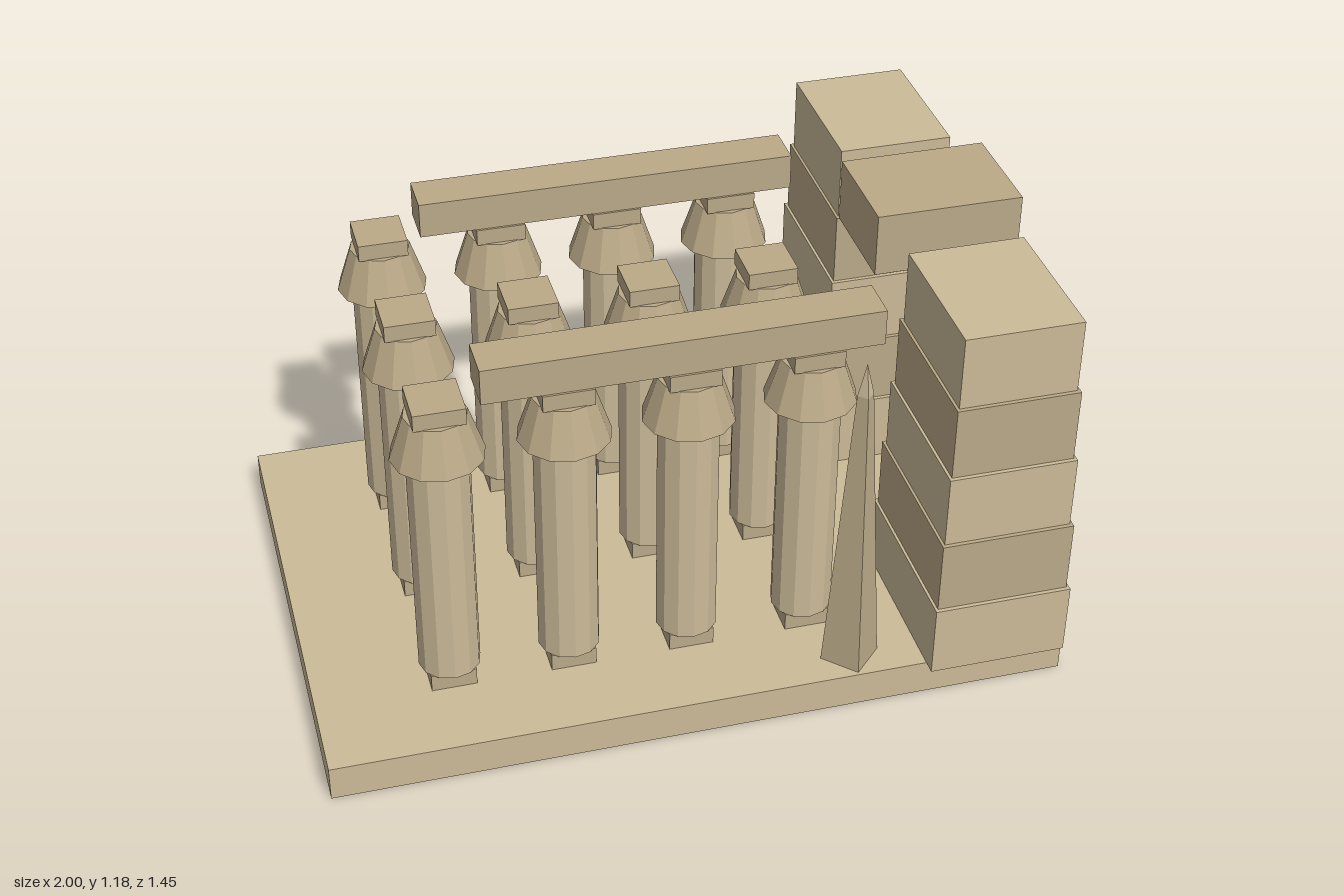
import * as THREE from 'three';

const light = new THREE.MeshStandardMaterial({ color: 0xccbb99, flatShading: true });
const dark = new THREE.MeshStandardMaterial({ color: 0xbbaa88, flatShading: true });

function add(parent, name, geometry, material, x, y, z) {
  const mesh = new THREE.Mesh(geometry, material);
  mesh.name = name;
  mesh.position.set(x, y, z);
  parent.add(mesh);
  return mesh;
}

// Box resting on height y
function block(parent, name, material, w, h, d, x, y, z) {
  return add(parent, name, new THREE.BoxGeometry(w, h, d), material, x, y + h / 2, z);
}

// Faceted drum or frustum resting on height y
function drum(parent, name, material, rTop, rBottom, h, sides, y) {
  return add(parent, name, new THREE.CylinderGeometry(rTop, rBottom, h, sides), material, 0, y + h / 2, 0);
}

// Column: plinth, shaft, flared capital and abacus
function column(x, z) {
  const g = new THREE.Group();
  g.name = 'column';
  g.position.set(x, 0.1, z);
  block(g, 'plinth', dark, 0.122, 0.05, 0.122, 0, 0, 0);
  drum(g, 'shaft', light, 0.083, 0.083, 0.68, 12, 0.05);
  drum(g, 'capital', dark, 0.082, 0.123, 0.125, 12, 0.73);
  block(g, 'abacus', dark, 0.135, 0.047, 0.135, 0, 0.853, 0);
  return g;
}

// Gate tower: five stacked courses, each smaller than the one below
function pylon(z) {
  const g = new THREE.Group();
  g.name = 'pylon';
  g.position.set(0.8, 0.1, z);
  const h = 0.2067;
  for (let i = 0; i < 5; i++) {
    block(g, 'course', i % 2 ? dark : light, 0.376 - i * 0.015, h, 0.499 - i * 0.0225, 0, i * h, 0);
  }
  return g;
}

// Four-sided obelisk with a pointed tip
function obelisk(x, z) {
  const g = new THREE.Group();
  g.name = 'obelisk';
  g.position.set(x, 0.1, z);
  drum(g, 'obeliskShaft', dark, 0.022, 0.08, 0.855, 4, 0);
  drum(g, 'obeliskTip', light, 0, 0.022, 0.093, 4, 0.855);
  return g;
}

export function createModel() {
  const model = new THREE.Group();
  model.name = 'templeGate';

  block(model, 'base', light, 2, 0.1, 1.374, 0, 0, 0);

  // Hall of three rows of four columns
  for (const z of [-0.4, 0, 0.4]) {
    for (let i = 0; i < 4; i++) model.add(column(-0.628 + i * 0.325, z));
  }

  // Roof beams over the outer rows
  for (const z of [-0.4, 0.4]) block(model, 'roofBeam', dark, 1.044, 0.1, 0.123, -0.002, 1, z);

  // Gateway
  for (const z of [-0.475, 0.475]) model.add(pylon(z));
  block(model, 'lintel', dark, 0.4, 0.177, 0.298, 0.8, 1, 0);

  model.add(obelisk(0.423, 0.598));
  return model;
}
